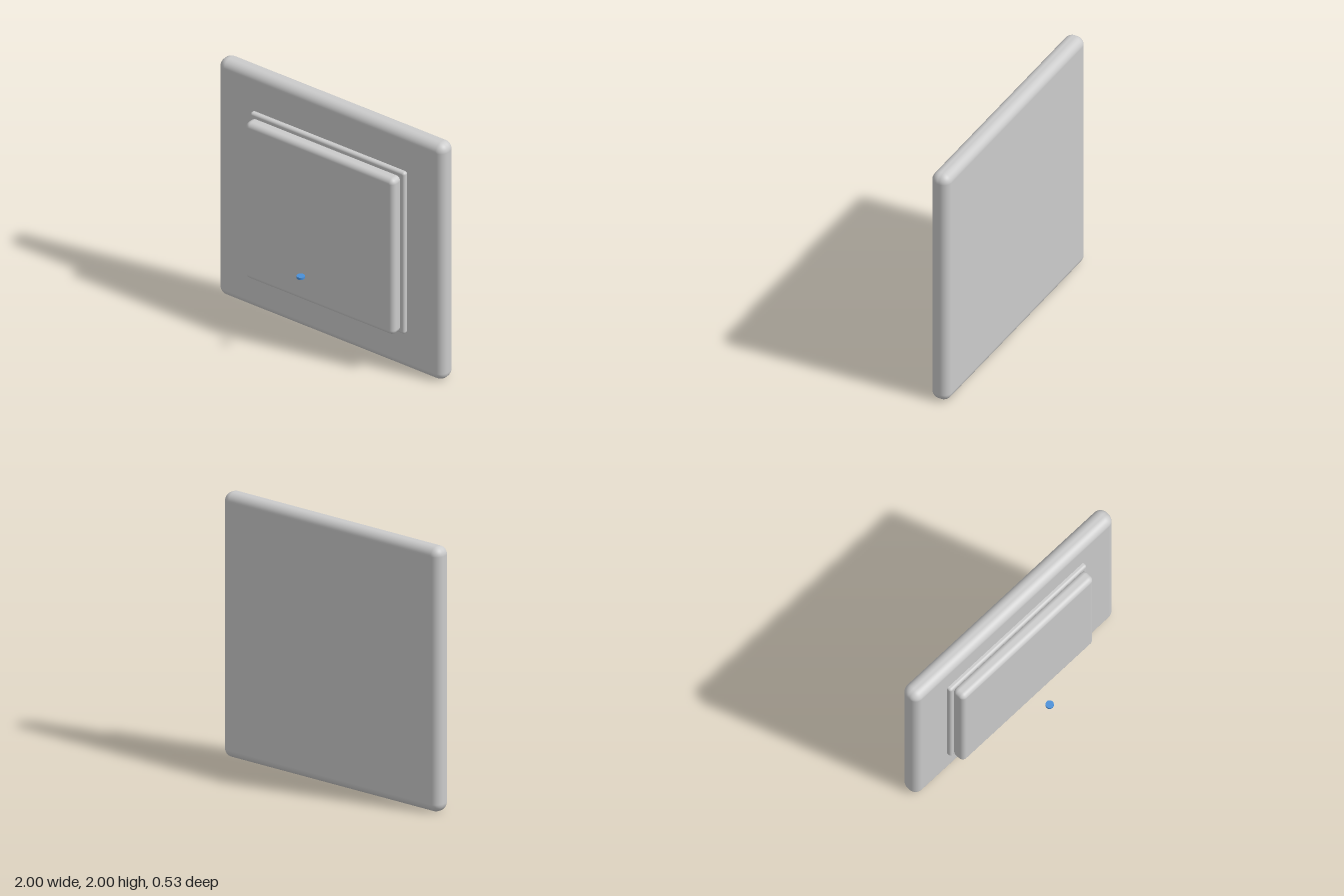
import * as THREE from 'three';
import { RoundedBoxGeometry } from 'three/addons/geometries/RoundedBoxGeometry.js';

export function createModel() {
  const group = new THREE.Group();
  const grey = new THREE.MeshStandardMaterial({ color: 0xcccccc });
  const blue = new THREE.MeshStandardMaterial({ color: 0x4a90d9 });

  // Square rounded slab centred on the plate, spanning zBack to zFront
  function slab(name, size, zBack, zFront, radius) {
    const geometry = new RoundedBoxGeometry(size, size, zFront - zBack, 6, radius);
    const mesh = new THREE.Mesh(geometry, grey);
    mesh.name = name;
    mesh.position.set(0, 1, (zBack + zFront) / 2);
    group.add(mesh);
  }

  slab('wallPlate', 2, -0.265, -0.115, 0.065);
  slab('innerFrame', 1.37, -0.15, -0.08, 0.02);
  slab('rocker', 1.32, -0.09, 0.02, 0.04);

  // Small indicator disc floating in front of the rocker
  const indicator = new THREE.Mesh(new THREE.CylinderGeometry(0.03, 0.03, 0.018, 32), blue);
  indicator.name = 'indicatorLight';
  indicator.position.set(0, 0.713, 0.235);
  group.add(indicator);

  return group;
}
